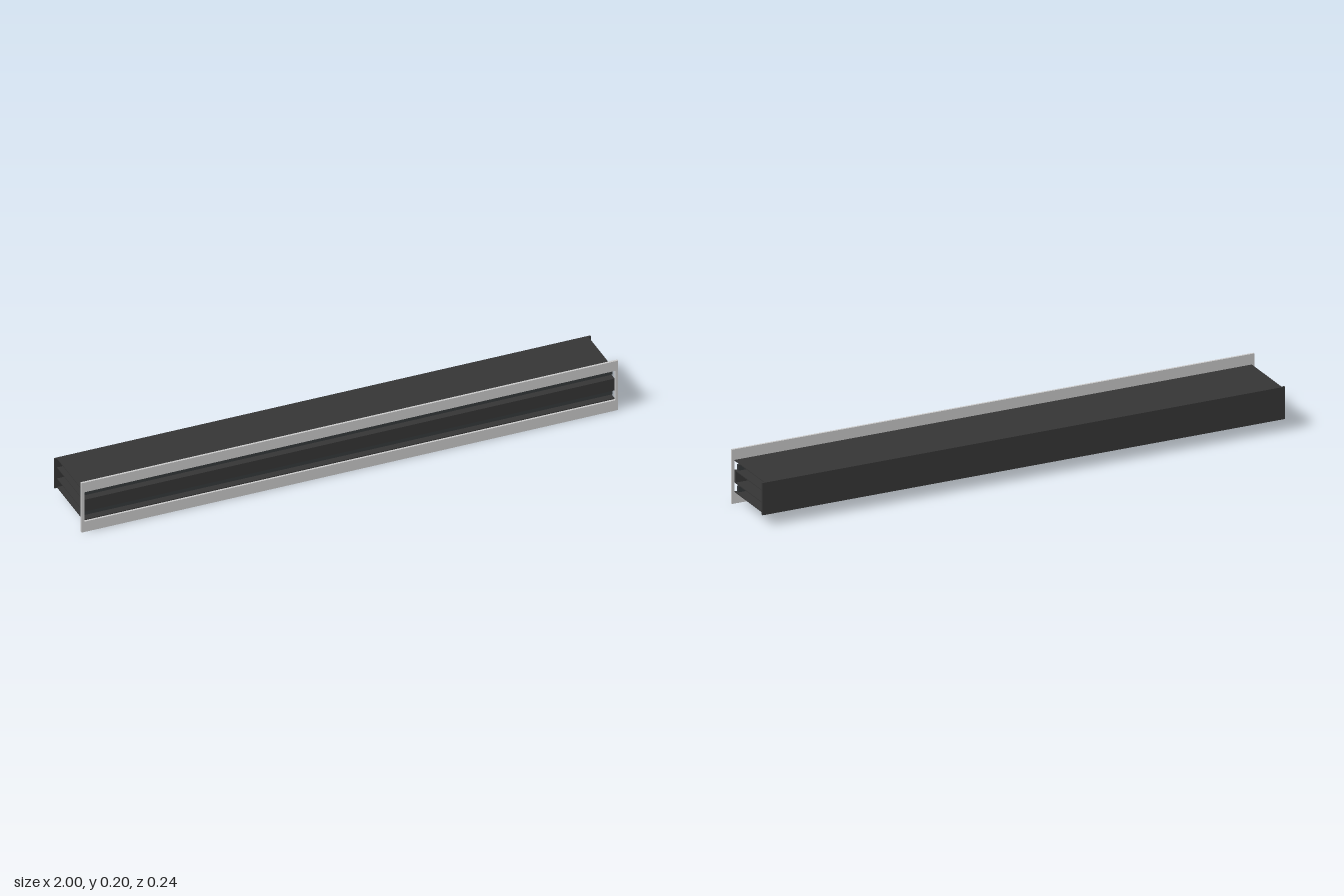
import * as THREE from 'three';

export function createModel() {
  const model = new THREE.Group();
  model.name = 'slotDiffuser';

  const faceMat = new THREE.MeshStandardMaterial({ color: 0xc8c8c8 });
  faceMat.name = 'light grey frame';
  const bodyMat = new THREE.MeshStandardMaterial({ color: 0x353535 });
  bodyMat.name = 'charcoal body';
  const bladeMat = new THREE.MeshStandardMaterial({ color: 0x34383a });
  bladeMat.name = 'dark blade';

  const L = 1.98;                 // length of the inner parts
  const Y0 = 0.042, Y1 = 0.161;   // height range of the housing
  const FRONT = 0.114, BACK = -0.121;

  // Box given by its length and its y and z ranges
  function bar(name, length, y0, y1, z0, z1, mat) {
    const mesh = new THREE.Mesh(new THREE.BoxGeometry(length, y1 - y0, z1 - z0), mat);
    mesh.position.set(0, (y0 + y1) / 2, (z0 + z1) / 2);
    mesh.name = name;
    model.add(mesh);
  }

  // Flat front frame with one long opening
  const outline = new THREE.Shape();
  outline.moveTo(-1, 0).lineTo(1, 0).lineTo(1, 0.2).lineTo(-1, 0.2).closePath();
  const opening = new THREE.Path();
  opening.moveTo(-L / 2, Y0).lineTo(-L / 2, Y1).lineTo(L / 2, Y1).lineTo(L / 2, Y0).closePath();
  outline.holes.push(opening);
  const frame = new THREE.Mesh(
    new THREE.ExtrudeGeometry(outline, { depth: 0.008, bevelEnabled: false }), faceMat);
  frame.position.z = FRONT;
  frame.name = 'frontFrame';
  model.add(frame);

  // Back wall, a little longer than the channels
  bar('backWall', 2, Y0, Y1, BACK, BACK + 0.007, bodyMat);

  // Four horizontal sheets forming the channels
  for (const [name, y] of [['bottomSheet', Y0], ['lowerDivider', 0.077],
    ['upperDivider', 0.1215], ['topSheet', Y1 - 0.0035]]) {
    bar(name, L, y, y + 0.0035, BACK + 0.007, FRONT, bodyMat);
  }

  // Bar closing the middle channel between the two slots
  bar('centreBar', L, 0.0805, 0.1215, 0.105, FRONT, bodyMat);

  // Deflector blade inside each slot
  bar('lowerBlade', L, 0.051, 0.072, 0.086, 0.096, bladeMat);
  bar('upperBlade', L, 0.131, 0.152, 0.086, 0.096, bladeMat);

  return model;
}
